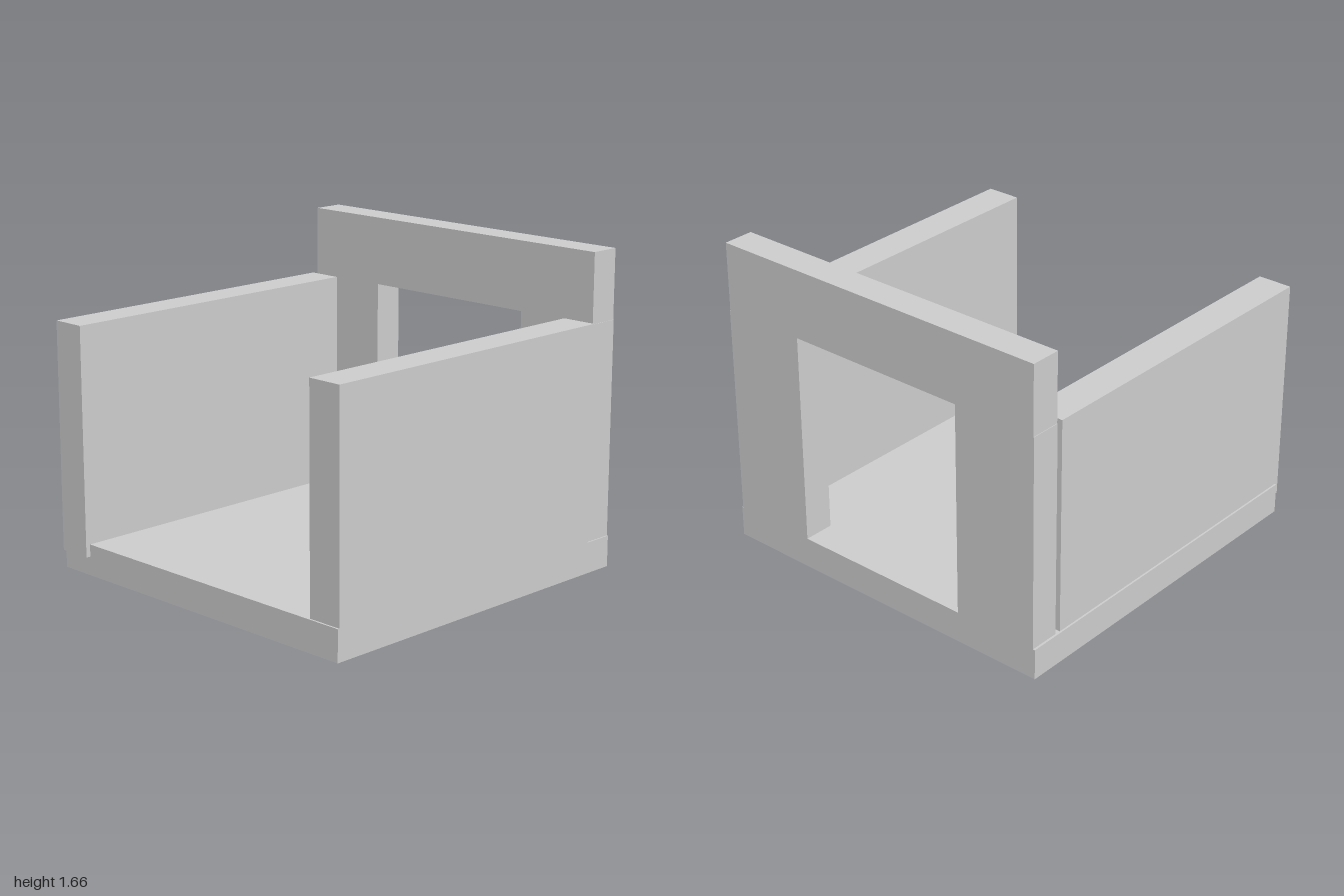
import * as THREE from 'three';

export function createModel() {
  const model = new THREE.Group();
  model.name = 'openRoom';
  const material = new THREE.MeshStandardMaterial({ color: 0xcccccc, flatShading: true });

  // Box given by its extents along each axis
  function slab(name, [x0, x1], [y0, y1], [z0, z1]) {
    const mesh = new THREE.Mesh(new THREE.BoxGeometry(x1 - x0, y1 - y0, z1 - z0), material);
    mesh.position.set((x0 + x1) / 2, (y0 + y1) / 2, (z0 + z1) / 2);
    mesh.name = name;
    return mesh;
  }

  const floorTop = 0.165, lintelBottom = 1.3;

  // Floor and the two long side walls
  model.add(
    slab('floor', [-0.975, 1], [0, floorTop], [-0.985, 0.985]),
    slab('frontWall', [-0.965, 0.833], [floorTop, 1.305], [0.795, 0.985]),
    slab('backWall', [-1, 0.805], [0.1, 1.305], [-0.975, -0.79])
  );

  // Tall doorway wall: two jambs carrying a lintel
  const doorway = new THREE.Group();
  doorway.name = 'doorwayWall';
  const thickness = [0.835, 1];
  doorway.add(
    slab('frontJamb', thickness, [floorTop, lintelBottom], [0.51, 0.978]),
    slab('backJamb', thickness, [floorTop, lintelBottom], [-0.973, -0.505]),
    slab('lintel', thickness, [lintelBottom, 1.665], [-0.97, 0.975])
  );
  model.add(doorway);

  return model;
}
